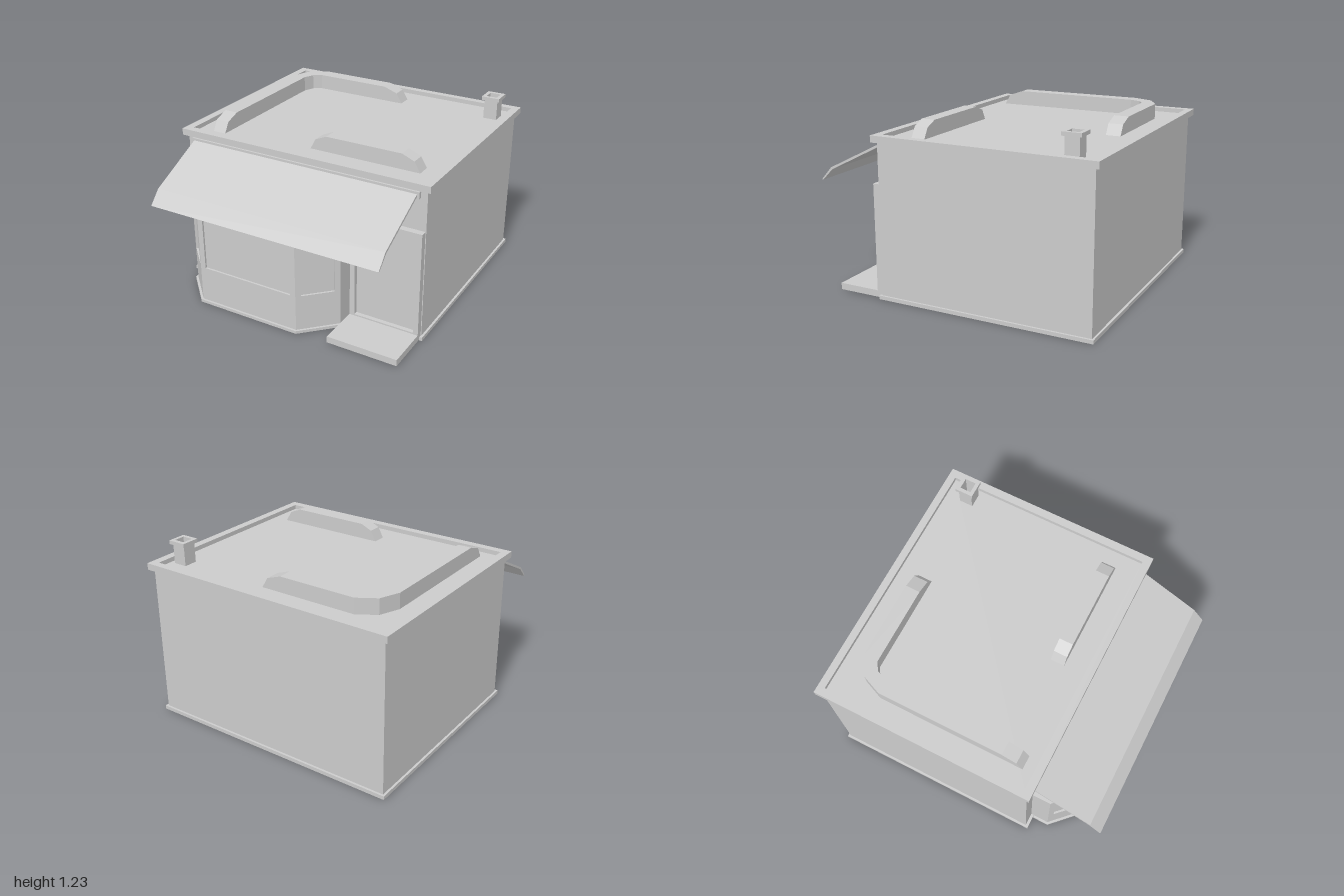
import * as THREE from 'three';

const material = new THREE.MeshStandardMaterial({ color: 0xcccccc, flatShading: true, side: THREE.DoubleSide });

export function createModel() {
  const root = new THREE.Group();

  const add = (name, geometry, parent = root) => {
    const mesh = new THREE.Mesh(geometry, material);
    mesh.name = name;
    parent.add(mesh);
    return mesh;
  };
  const box = (name, x0, x1, y0, y1, z0, z1) => add(name,
    new THREE.BoxGeometry(x1 - x0, y1 - y0, z1 - z0).translate((x0 + x1) / 2, (y0 + y1) / 2, (z0 + z1) / 2));
  const rect = (x0, x1, y0, y1) => [[x0, y0], [x1, y0], [x1, y1], [x0, y1]];
  const vectors = pts => pts.map(p => new THREE.Vector2(p[0], p[1]));
  const extrude = (outline, holes, depth) => {
    const shape = new THREE.Shape(vectors(outline));
    holes.forEach(h => shape.holes.push(new THREE.Path(vectors(h))));
    return new THREE.ExtrudeGeometry(shape, { depth, bevelEnabled: false });
  };
  // Upright prism from a plan of [x, z] points
  const flip = pts => pts.map(([x, z]) => [x, -z]);
  const prism = (name, plan, holes, y0, y1) => add(name,
    extrude(flip(plan), holes.map(flip), y1 - y0).rotateX(-Math.PI / 2).translate(0, y0, 0));

  // Shell, open underneath, with an opening for the shop window
  box('sideWallLeft', 0.88, 0.89, 0, 1.06, -0.97, 0.5);
  box('sideWallRight', -0.89, -0.88, 0, 1.06, -0.97, 0.5);
  box('backWall', -0.89, 0.89, 0, 1.06, -0.97, -0.96);
  add('frontWall', extrude(
    [[-0.89, 0], [-0.8, 0], [-0.8, 0.7], [0.37, 0.7], [0.37, 0], [0.89, 0], [0.89, 1.06], [-0.89, 1.06]],
    [], 0.01).translate(0, 0, 0.49));
  prism('baseTrim', rect(-0.905, 0.905, -0.985, 0.52), [rect(-0.885, 0.885, -0.965, 0.495)], 0, 0.025);

  // Roof
  box('roofDeck', -0.88, 0.88, 1.05, 1.065, -0.965, 0.49);
  prism('roofParapet', rect(-0.92, 0.92, -1, 0.53), [rect(-0.865, 0.865, -0.95, 0.475)], 1.05, 1.095);

  // Bay window: wall panels run left to right around the plan
  const bay = [[-0.8, 0.33], [-0.8, 0.63], [-0.59, 0.84], [0.16, 0.84], [0.37, 0.63], [0.37, 0.33]];
  const bayWindow = new THREE.Group();
  bayWindow.name = 'bayWindow';
  root.add(bayWindow);
  for (let i = 0; i < bay.length; i++) {
    const [ax, az] = bay[i], [bx, bz] = bay[(i + 1) % bay.length];
    const length = Math.hypot(bx - ax, bz - az);
    const glazed = i >= 1 && i <= 3;
    const hole = rect(0.038, length - 0.038, 0.27, 0.64);
    const panel = new THREE.Group();
    panel.name = glazed ? 'windowPanel' : 'plainPanel';
    panel.position.set(ax, 0, az);
    panel.rotation.y = Math.atan2(az - bz, bx - ax);
    bayWindow.add(panel);
    add('panelWall', extrude(rect(0, length, 0, 0.7), glazed ? [hole] : [], 0.015).translate(0, 0, -0.015), panel);
    if (glazed) {
      add('glass', new THREE.PlaneGeometry(length - 0.076, 0.37).translate(length / 2, 0.455, -0.014), panel);
    }
  }
  prism('bayTop', bay, [], 0.69, 0.7);
  prism('bayTrim',
    [[-0.815, 0.5], [-0.815, 0.637], [-0.596, 0.855], [0.166, 0.855], [0.385, 0.637], [0.385, 0.5]],
    [[[-0.79, 0.51], [-0.79, 0.626], [-0.586, 0.83], [0.156, 0.83], [0.36, 0.626], [0.36, 0.51]]], 0, 0.02);

  // Door and step
  add('doorFrame', extrude(rect(0.39, 0.885, 0.05, 0.775), [rect(0.425, 0.85, 0.06, 0.74)], 0.045).translate(0, 0, 0.5));
  box('door', 0.42, 0.855, 0.05, 0.745, 0.495, 0.515);
  box('doorStep', 0.39, 0.885, 0.005, 0.05, 0.5, 0.84);

  // Awning, folded down at its front edge
  box('awningHousing', -0.845, 0.845, 0.995, 1.04, 0.5, 0.525);
  add('awning', extrude(
    [[0.51, 1.015], [0.91, 0.815], [0.99, 0.735], [1, 0.737], [0.92, 0.827], [0.51, 1.032]], [], 1.66)
    .rotateY(-Math.PI / 2).translate(0.83, 0, 0));

  // Ducts: each section is [left x, left z, right x, right z, top height]
  const duct = (name, sections) => {
    const low = 1.06, pos = [];
    const rings = sections.map(([lx, lz, rx, rz, h]) => [[lx, low, lz], [lx, h, lz], [rx, h, rz], [rx, low, rz]]);
    for (let i = 0; i < rings.length - 1; i++) {
      for (let k = 0; k < 4; k++) {
        const a = rings[i][k], b = rings[i][(k + 1) % 4];
        const c = rings[i + 1][(k + 1) % 4], d = rings[i + 1][k];
        pos.push(...a, ...b, ...c, ...a, ...c, ...d);
      }
    }
    const geometry = new THREE.BufferGeometry();
    geometry.setAttribute('position', new THREE.Float32BufferAttribute(pos, 3));
    geometry.computeVertexNormals();
    add(name, geometry);
  };
  const alongZ = (z, h) => [-0.755, z, -0.66, z, h];
  const alongX = (z0, z1) => (x, h) => [x, z0, x, z1, h];
  const rear = alongX(-0.82, -0.72), front = alongX(0.235, 0.33);
  duct('cornerDuct', [
    alongZ(0.405, 1.06), alongZ(0.36, 1.135), alongZ(0.26, 1.17),
    [-0.755, -0.61, -0.66, -0.61, 1.17], [-0.7, -0.745, -0.63, -0.685, 1.17], rear(-0.575, 1.17),
    rear(-0.035, 1.17), rear(0.065, 1.135), rear(0.11, 1.06),
  ]);
  duct('frontDuct', [
    front(-0.03, 1.06), front(0.01, 1.135), front(0.09, 1.17),
    front(0.63, 1.17), front(0.715, 1.135), front(0.76, 1.06),
  ]);

  // Hollow chimney with a wider cap
  const flue = rect(0.745, 0.82, -0.835, -0.76);
  prism('chimney', rect(0.735, 0.83, -0.845, -0.75), [flue], 1.06, 1.2);
  prism('chimneyCap', rect(0.72, 0.845, -0.862, -0.735), [flue], 1.2, 1.225);

  return root;
}
